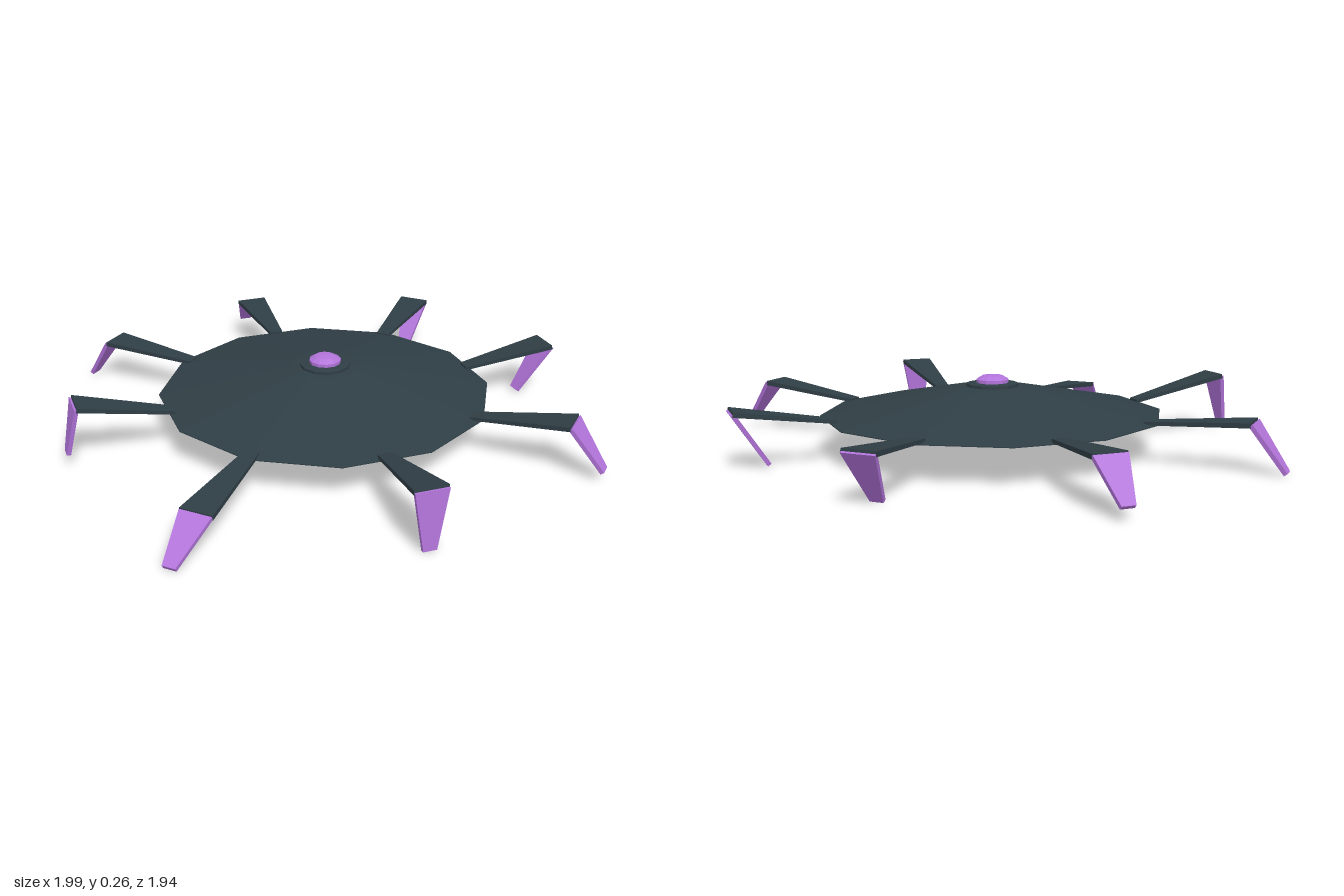
import * as THREE from 'three';
import { ConvexGeometry } from 'three/addons/geometries/ConvexGeometry.js';

const V = (x, y, z) => new THREE.Vector3(x, y, z);

// Flat tapered bar from a to b; the width runs along the hinge direction
function taperedBar(a, b, halfA, halfB, thickA, thickB, hinge) {
  const normal = hinge.clone().cross(b.clone().sub(a)).normalize();
  const points = [];
  for (const [p, half, thick] of [[a, halfA, thickA], [b, halfB, thickB]]) {
    for (const s of [-1, 1]) for (const t of [-1, 1]) {
      points.push(p.clone().addScaledVector(hinge, s * half).addScaledVector(normal, t * thick / 2));
    }
  }
  return new ConvexGeometry(points);
}

export function createModel() {
  const slate = new THREE.MeshStandardMaterial({ color: 0x2f3e45, flatShading: true });
  slate.name = 'dark slate';
  const purple = new THREE.MeshStandardMaterial({ color: 0xb274da, flatShading: true });
  purple.name = 'purple';

  const model = new THREE.Group();
  const centerZ = -0.08;
  const add = (parent, name, geometry, material) => {
    const mesh = new THREE.Mesh(geometry, material);
    mesh.name = name;
    parent.add(mesh);
    return mesh;
  };

  // Twelve-sided body: shallow cone with a flat underside, a raised ring and a domed eye
  const lathe = (profile) => new THREE.LatheGeometry(profile.map(([r, y]) => new THREE.Vector2(r, y)), 12);
  const body = new THREE.Group();
  body.name = 'body';
  body.position.z = centerZ;
  model.add(body);
  add(body, 'disc', lathe([[0, 0.129], [0.58, 0.129], [0.58, 0.132], [0.12, 0.222], [0, 0.225]]), slate);
  add(body, 'eyeRing', lathe([[0.088, 0.215], [0.088, 0.232], [0.06, 0.235], [0, 0.235]]), slate);
  add(body, 'eye', lathe([[0.055, 0.232], [0.055, 0.246], [0.035, 0.258], [0, 0.262]]), purple);

  // Eight legs, each posed by its knee and its tip
  const legs = [
    ['frontLeg', [0, 0.105, 0.81], [0, 0.012, 0.965]],
    ['frontLeftLeg', [0.62, 0.198, 0.545], [0.625, 0.008, 0.56]],
    ['leftLeg', [0.88, 0.185, -0.075], [0.99, 0.04, -0.067]],
    ['backLeftLeg', [0.62, 0.188, -0.695], [0.54, 0.015, -0.615]],
    ['backLeg', [0, 0.168, -0.965], [0, 0.012, -0.867]],
    ['backRightLeg', [-0.617, 0.16, -0.69], [-0.697, 0.045, -0.778]],
    ['rightLeg', [-0.885, 0.163, -0.088], [-0.99, 0.012, -0.086]],
    ['frontRightLeg', [-0.613, 0.215, 0.54], [-0.635, 0.045, 0.567]],
  ];
  for (const [name, kneeAt, tipAt] of legs) {
    const leg = new THREE.Group();
    leg.name = name;
    model.add(leg);
    const knee = V(...kneeAt), tip = V(...tipAt);
    const out = V(knee.x, 0, knee.z - centerZ).normalize();
    const hinge = V(out.z, 0, -out.x);
    const root = V(0, 0.138, centerZ).addScaledVector(out, 0.54);
    add(leg, 'upperLeg', taperedBar(root, knee, 0.024, 0.056, 0.012, 0.016, hinge), slate);
    add(leg, 'lowerLeg', taperedBar(knee, tip, 0.055, 0.022, 0.014, 0.014, hinge), purple);
  }
  return model;
}
